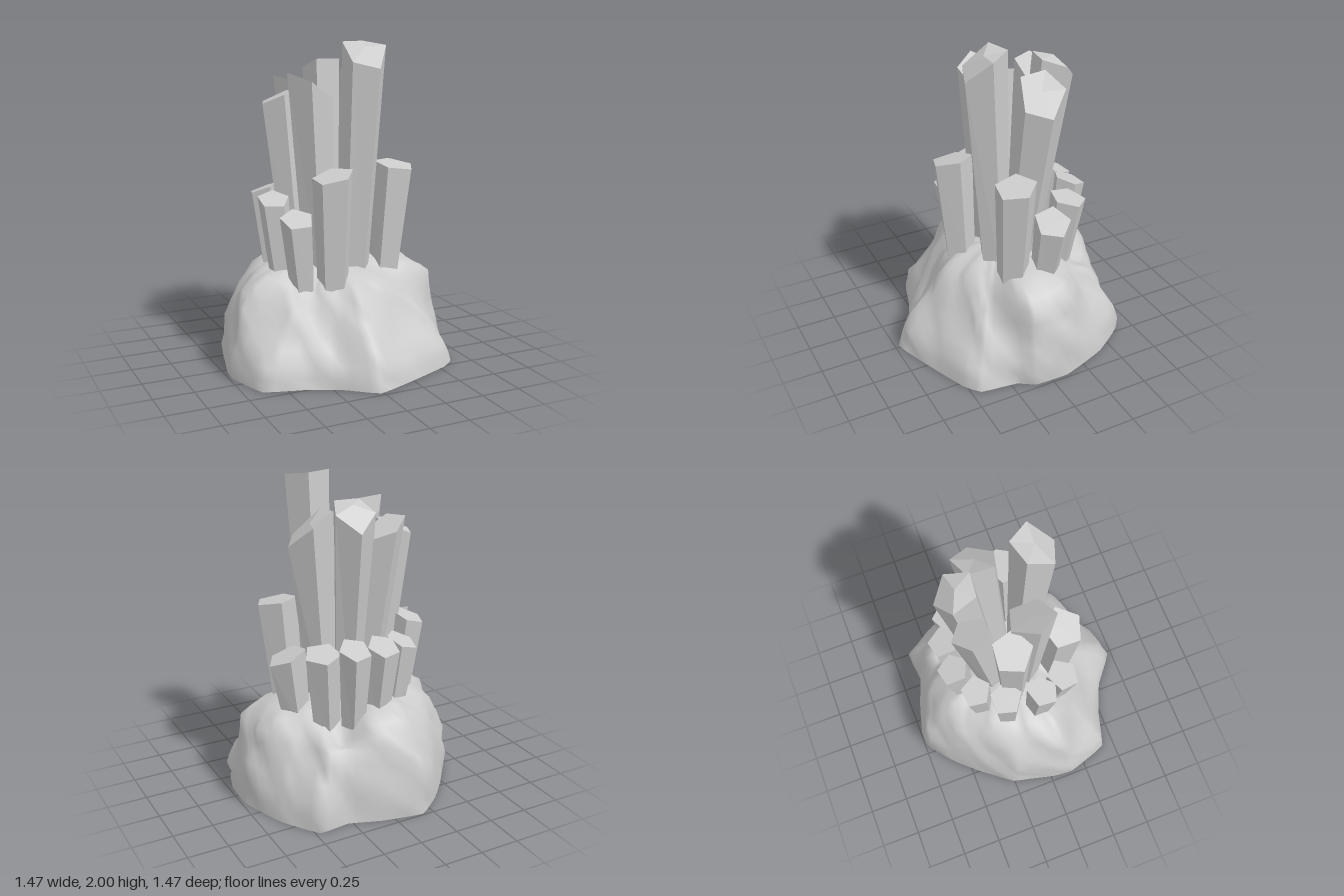
import * as THREE from 'three';

const grey = () => new THREE.MeshStandardMaterial({ color: 0xcccccc });

// Skin a stack of equal rings (angles running from +x to +z) and close the top with a centre point
function loft(rings, apex, base) {
  const n = rings[0].length, pts = rings.flat(), index = [];
  rings.slice(1).forEach((_, r) => {
    for (let i = 0; i < n; i++) {
      const j = (i + 1) % n, b = r * n, t = b + n;
      index.push(b + i, t + i, t + j, b + i, t + j, b + j);
    }
  });
  const last = (rings.length - 1) * n;
  const top = pts.push(apex) - 1;
  for (let i = 0; i < n; i++) index.push(top, last + (i + 1) % n, last + i);
  if (base) {
    const low = pts.push(base) - 1;
    for (let i = 0; i < n; i++) index.push(low, i, (i + 1) % n);
  }
  const g = new THREE.BufferGeometry().setFromPoints(pts);
  g.setIndex(index);
  g.computeVertexNormals();
  return g;
}

// Hollow, lumpy rock, open underneath
function makeRock() {
  const { lerp, smoothstep } = THREE.MathUtils;
  const outline = [
    [-0.18, -0.74], [0.08, -0.69], [0.28, -0.62], [0.47, -0.635], [0.62, -0.42], [0.69, -0.235],
    [0.73, -0.1], [0.725, 0.106], [0.66, 0.215], [0.63, 0.44], [0.53, 0.52], [0.26, 0.63],
    [-0.016, 0.725], [-0.21, 0.577], [-0.41, 0.49], [-0.64, 0.42], [-0.73, 0.157], [-0.72, 0.02],
    [-0.675, -0.157], [-0.65, -0.26], [-0.486, -0.47], [-0.35, -0.615],
  ].map(([x, z]) => new THREE.Vector3(x, 0, z));
  const rim = new THREE.CatmullRomCurve3(outline, true, 'catmullrom', 0.15).getPoints(66).slice(0, 66);
  // height, width on gentle sides, width on steep-shouldered sides
  const levels = [
    [0, 1, 1], [0.08, 1, 0.98], [0.17, 0.99, 0.945], [0.26, 0.97, 0.86], [0.34, 0.93, 0.78],
    [0.42, 0.89, 0.71], [0.49, 0.84, 0.65], [0.55, 0.77, 0.59], [0.6, 0.67, 0.52],
    [0.63, 0.54, 0.43], [0.645, 0.36, 0.3], [0.65, 0.18, 0.15],
  ];
  const rings = levels.map(([y, gentle, steep], k) => rim.map((p) => {
    const a = Math.atan2(p.z, p.x);
    const front = smoothstep(p.z, 0.1, 0.43);
    const corner = 0.9 * Math.exp(-(((a + 0.75) / 0.35) ** 2));
    const right = smoothstep(p.x, 0.4, 0.7) * smoothstep(y, 0.3, 0.5) * 0.06;
    const s = lerp(gentle * (1 + right), steep, Math.max(front, corner));
    const lump = Math.sin(7 * a + 11 * y) + Math.sin(11 * a - 17 * y + 1) + 0.8 * Math.sin(17 * a + 31 * y + 2);
    const grain = Math.sin(23 * a - 40 * y) + Math.sin(19 * a + 52 * y + 4);
    const dent = Math.exp(-(((a + 1.05) / 0.33) ** 2)) * smoothstep(y, 0.4, 0.6);
    const back = Math.max(0, -p.z);
    const r = s * (1 + (k === 0 ? 0 : 0.008 * lump + 0.005 * grain));
    const bump = k > 2 ? s * (0.01 * lump + 0.005 * grain) : 0;
    const h = y * (1 + 0.08 * back - 0.22 * front * s) - 0.2 * dent * s + bump;
    return new THREE.Vector3(p.x * r, h, p.z * r);
  }));
  const mat = grey();
  mat.side = THREE.DoubleSide;
  const rock = new THREE.Mesh(loft(rings, new THREE.Vector3(0, 0.64, 0)), mat);
  rock.name = 'rock';
  return rock;
}

// Leaning, flaring five-sided prism with a slanted end, its height limited by a flat peak
function makeCrystal({ top, base, r, flare, turn, height, peak, tilt }) {
  const ring = (cx, cz, rad, yAt) => Array.from({ length: 5 }, (_, i) => {
    const a = turn + (i / 5) * Math.PI * 2;
    const dx = Math.cos(a) * rad, dz = Math.sin(a) * rad;
    return new THREE.Vector3(cx + dx, yAt(dx, dz), cz + dz);
  });
  const floor = 0.48;
  const g = loft([
    ring(base[0], base[1], r * flare, () => floor),
    ring(top[0], top[1], r, (dx, dz) => Math.min(peak, height + tilt[0] * dx + tilt[1] * dz)),
  ], new THREE.Vector3(top[0], height, top[1]), new THREE.Vector3(base[0], floor, base[1]));
  const mat = grey();
  mat.flatShading = true;
  return new THREE.Mesh(g, mat);
}

export function createModel() {
  const model = new THREE.Group();
  model.name = 'crystalCluster';
  model.add(makeRock());

  // Tall inner crystals: top x, z, base x, z, radius, turn, height, peak, slope x, z
  const tall = [
    [0.14, 0.17, 0.115, 0.085, 0.14, 1.3, 1.97, 2.0, 0.1, -0.95],
    [0.275, -0.14, 0.15, -0.07, 0.14, 0, 1.74, 1.82, -0.85, -0.35],
    [0.085, -0.32, 0.04, -0.16, 0.13, -0.2, 1.87, 1.88, -0.1, 1.1],
    [-0.165, 0.035, -0.09, 0.02, 0.145, Math.PI, 1.73, 1.82, -0.65, 0.1],
    [-0.135, -0.31, -0.06, -0.17, 0.12, 0.9, 1.72, 1.79, -0.5, 0.1],
    [-0.3, -0.13, -0.2, -0.09, 0.12, 0.4, 1.67, 1.72, 0.4, 0.15],
  ];
  tall.forEach(([x, z, bx, bz, r, turn, height, peak, sx, sz], i) => {
    const c = makeCrystal({ top: [x, z], base: [bx, bz], r, flare: 0.66, turn, height, peak, tilt: [sx, sz] });
    c.name = `tallCrystal${i + 1}`;
    model.add(c);
  });

  // Short outer crystals: top x, z, radius, turn, height, slope x, z
  const short = [
    [-0.115, 0.27, 0.13, 0, 1.22, 0.25, -0.1],
    [-0.32, 0.2, 0.105, -0.2, 0.96, 0.1, -0.4],
    [-0.405, 0.03, 0.1, 0, 1.06, 0.1, -0.35],
    [-0.375, -0.2, 0.1, 0.3, 1.09, 0.3, 0.2],
    [-0.24, -0.35, 0.095, 0.2, 1.0, 0.3, 0.3],
    [-0.06, -0.435, 0.1, 0.1, 1.02, 0, 0.4],
    [0.13, -0.43, 0.1, 0.1, 1.03, 0, 0.4],
    [0.295, -0.33, 0.115, -0.1, 1.0, -0.1, 0.2],
    [0.44, -0.14, 0.115, -0.1, 0.95, -0.4, -0.1],
    [0.395, 0.09, 0.13, -0.15, 1.23, -0.1, -0.15],
  ];
  short.forEach(([x, z, r, turn, height, sx, sz], i) => {
    const c = makeCrystal({
      top: [x, z], base: [x * 0.84, z * 0.86], r, flare: 0.74, turn, height, peak: height + 0.06, tilt: [sx, sz],
    });
    c.name = `shortCrystal${i + 1}`;
    model.add(c);
  });
  return model;
}
